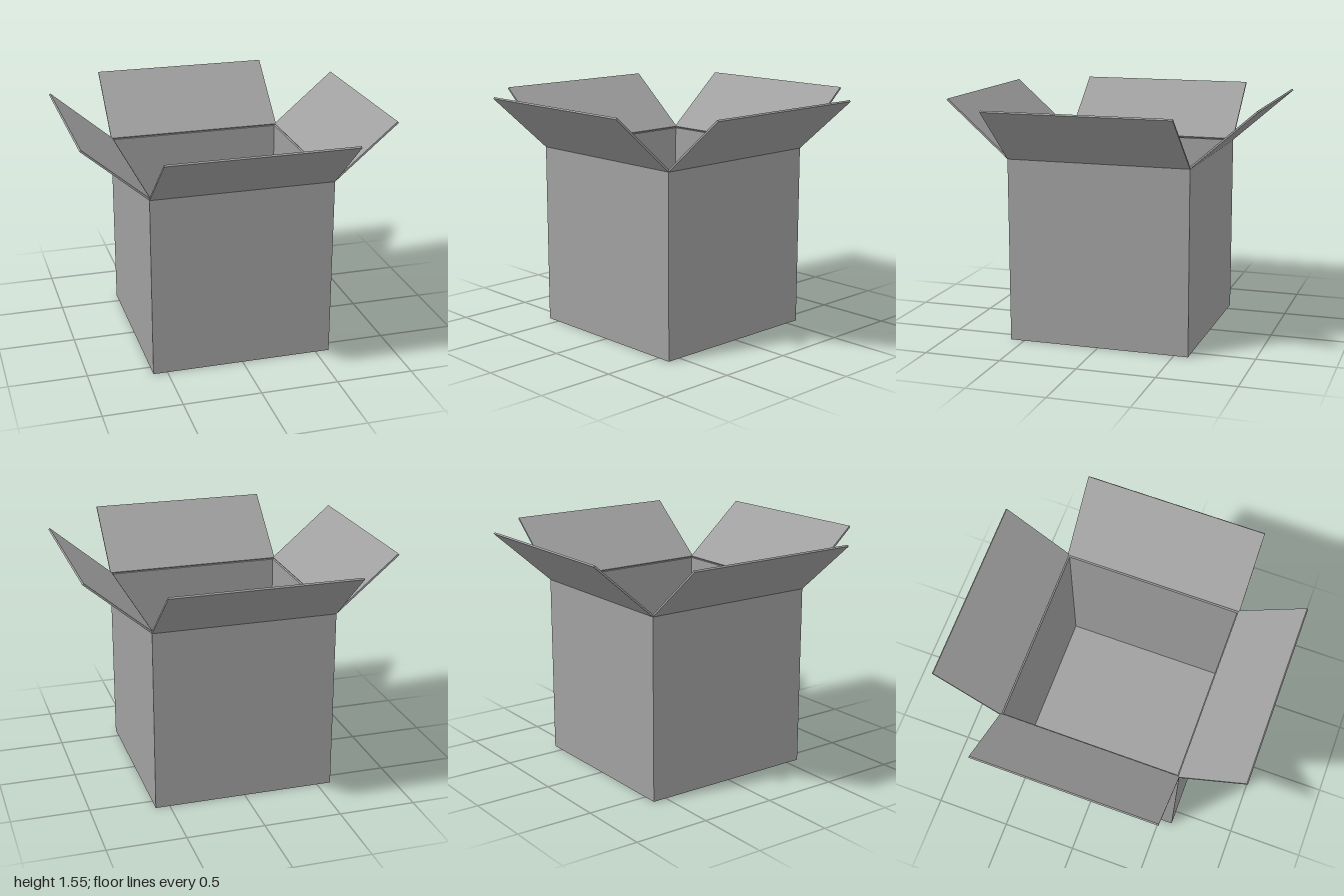
import * as THREE from 'three';

const HALF = 0.592, HEIGHT = 1.186, WALL = 0.015, CARD = 0.012;

// Flap hinged at the outer top edge of the wall facing +x
function makeFlap(run, rise, material) {
  const length = Math.hypot(run, rise);
  const geometry = new THREE.BoxGeometry(length, CARD, HALF * 2);
  geometry.translate(length / 2, CARD / 2, 0);
  geometry.rotateZ(Math.atan2(rise, run));
  geometry.translate(HALF, HEIGHT, 0);
  return new THREE.Mesh(geometry, material);
}

export function createModel() {
  const model = new THREE.Group();
  model.name = 'openBox';
  const card = new THREE.MeshStandardMaterial({ color: 0xa0a0a0 });
  card.name = 'grey cardboard';

  // Four walls as one square tube
  const square = (path, h) =>
    path.moveTo(-h, -h).lineTo(h, -h).lineTo(h, h).lineTo(-h, h).closePath();
  const ring = square(new THREE.Shape(), HALF);
  ring.holes.push(square(new THREE.Path(), HALF - WALL));
  const wallGeometry = new THREE.ExtrudeGeometry(ring, { depth: HEIGHT, bevelEnabled: false });
  wallGeometry.rotateX(-Math.PI / 2);
  const walls = new THREE.Mesh(wallGeometry, card);
  walls.name = 'walls';
  model.add(walls);

  // Floor inside the walls
  const inner = (HALF - WALL) * 2;
  const floor = new THREE.Mesh(new THREE.BoxGeometry(inner, WALL, inner), card);
  floor.name = 'floor';
  floor.position.y = WALL / 2;
  model.add(floor);

  // Open flaps; the front and back pair stands slightly higher
  ['leftFlap', 'backFlap', 'rightFlap', 'frontFlap'].forEach((name, i) => {
    const flap = makeFlap(0.408, i % 2 ? 0.358 : 0.348, card);
    flap.name = name;
    flap.rotation.y = i * Math.PI / 2;
    model.add(flap);
  });
  return model;
}
